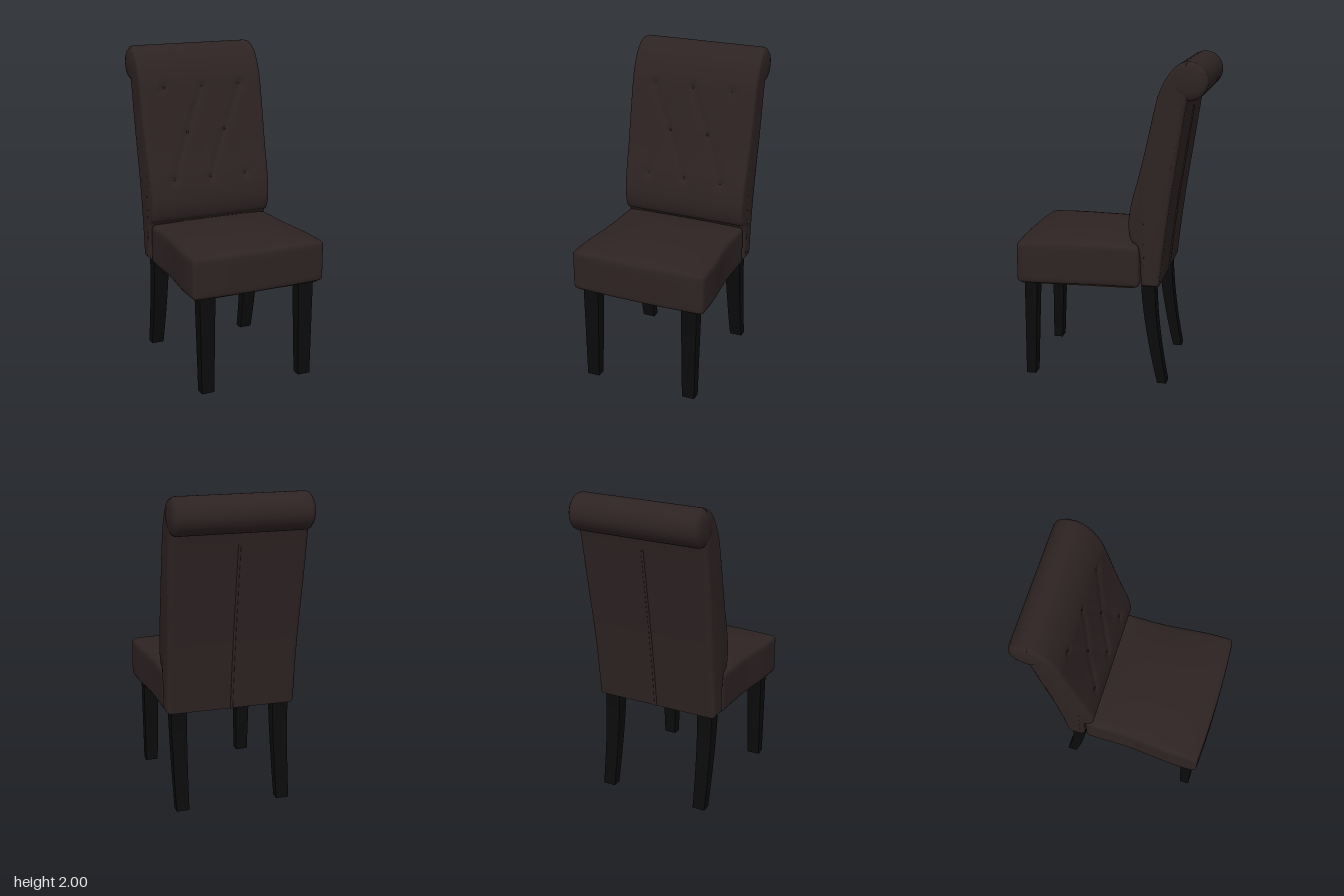
import * as THREE from 'three';
import { mergeVertices, toCreasedNormals } from 'three/addons/utils/BufferGeometryUtils.js';

const leather = new THREE.MeshStandardMaterial({ name: 'dark brown leather', color: 0x2e2323 });
const wood = new THREE.MeshStandardMaterial({ name: 'black wood', color: 0x0b0b0b });
const lining = new THREE.MeshStandardMaterial({ name: 'olive lining', color: 0x352a1a });

function add(group, name, geometry, material) {
  const mesh = new THREE.Mesh(geometry, material);
  mesh.name = name;
  group.add(mesh);
  return mesh;
}

// Moves every vertex of a geometry by a rule
function deform(geometry, rule) {
  const p = geometry.attributes.position, v = new THREE.Vector3();
  for (let i = 0; i < p.count; i++) {
    rule(v.fromBufferAttribute(p, i));
    p.setXYZ(i, v.x, v.y, v.z);
  }
  geometry.computeVertexNormals();
  return geometry;
}

// Rounded box with dense, smooth faces that can be reshaped
function softBox(w, h, d, r, rule) {
  let g = new THREE.BoxGeometry(2, 2, 2, 24, 12, 24);
  g.deleteAttribute('normal');
  g.deleteAttribute('uv');
  g = mergeVertices(g);
  const half = new THREE.Vector3(w / 2, h / 2, d / 2);
  const inner = half.clone().subScalar(r), q = new THREE.Vector3();
  const spread = t => Math.sign(t) * (1 - (1 - Math.abs(t)) ** 1.7);
  return deform(g, v => {
    v.set(spread(v.x), spread(v.y), spread(v.z)).multiply(half);
    q.copy(v).clamp(inner.clone().negate(), inner);
    v.sub(q).setLength(r).add(q);
    rule(v);
  });
}

// Seat: wider at the front, domed on top
function seatGeometry() {
  return softBox(0.82, 0.26, 0.765, 0.028, v => {
    const u = v.x / 0.41, w = v.z / 0.3825;
    const top = THREE.MathUtils.smoothstep(v.y, 0.05, 0.13);
    v.y += 0.75 + 0.052 * top * (1 - Math.abs(u) ** 2.5) * (1 - Math.abs(w) ** 2.5);
    v.z += 0.1925 + (w > 0 ? 0.015 * w * (1 - u * u) : 0);
    v.x *= 1 + 0.073 * THREE.MathUtils.smoothstep(v.z, 0.05, 0.48);
  });
}

// Tufting buttons and the creases that join them
const buttons = [[-0.26, 1.74], [0, 1.74], [0.26, 1.74], [-0.13, 1.46], [0.13, 1.46],
  [-0.25, 1.17], [0, 1.17], [0.25, 1.17]];
const creases = [[0, 3], [1, 3], [1, 4], [2, 4], [3, 5], [3, 6], [4, 6], [4, 7]];

function tuftDepth(x, y) {
  let depth = 0;
  for (const [a, b] of creases) {
    const [ax, ay] = buttons[a], [bx, by] = buttons[b];
    const dx = bx - ax, dy = by - ay;
    const t = THREE.MathUtils.clamp(((x - ax) * dx + (y - ay) * dy) / (dx * dx + dy * dy), 0, 1);
    const d = Math.hypot(x - ax - t * dx, y - ay - t * dy);
    depth = Math.max(depth, 0.007 * Math.exp(-((d / 0.025) ** 2)));
  }
  for (const [bx, by] of buttons) {
    depth = Math.max(depth, 0.014 * Math.exp(-((Math.hypot(x - bx, y - by) / 0.03) ** 2)));
  }
  return depth;
}

const vec2 = list => list.map(([a, b]) => new THREE.Vector2(a, b));
const backLine = [[-0.455, 1.7], [-0.41, 1.4], [-0.365, 1.1], [-0.33, 0.82], [-0.31, 0.635]];

// Backrest: side profile (z, y) extruded across x, then tufted
function backrestGeometry() {
  const s = new THREE.Shape();
  s.moveTo(-0.2, 0.635);
  s.splineThru(vec2([[-0.195, 0.78], [-0.18, 0.88], [-0.14, 0.915], [-0.122, 1], [-0.13, 1.1],
    [-0.152, 1.2], [-0.18, 1.3], [-0.205, 1.4], [-0.228, 1.5], [-0.25, 1.6], [-0.272, 1.7],
    [-0.297, 1.8], [-0.343, 1.9], [-0.4, 1.968], [-0.465, 1.996]]));
  s.lineTo(-0.5, 1.9);
  s.lineTo(-0.475, 1.8);
  s.lineTo(...backLine[0]);
  s.splineThru(vec2(backLine.slice(1)));
  const bevel = 0.025, width = 0.83;
  const g = new THREE.ExtrudeGeometry(s, {
    depth: width - 2 * bevel, steps: 56, curveSegments: 5,
    bevelEnabled: true, bevelThickness: bevel, bevelSize: bevel, bevelOffset: -bevel, bevelSegments: 4,
  });
  g.translate(0, 0, bevel - width / 2);
  g.rotateY(-Math.PI / 2);
  deform(g, v => {
    const rear = -0.31 - (v.y - 0.64) * 0.137;
    if (v.z > rear + 0.06 && v.y > 1) v.z -= tuftDepth(v.x, v.y);
    v.x *= 1 + 0.03 * THREE.MathUtils.smoothstep(v.y, 0.9, 1.7);
  });
  return toCreasedNormals(g, 0.7);
}

// Rolled top with gently domed ends
function rollGeometry() {
  const R = 0.114, L = 0.435;
  const g = new THREE.LatheGeometry(vec2([[0, -L], [0.06, -L + 0.002], [0.092, -L + 0.012],
    [0.108, -L + 0.025], [R, -L + 0.04], [R, L - 0.04], [0.108, L - 0.025],
    [0.092, L - 0.012], [0.06, L - 0.002], [0, L]]), 40);
  g.rotateZ(Math.PI / 2);
  g.translate(0, 1.885, -0.476);
  return g;
}

// Leg: tapered square bar whose z centre follows a curve of height
function legGeometry(x, height, topDepth, bottomDepth, zAt) {
  const g = new THREE.BoxGeometry(1, 1, 1, 1, 12, 1);
  deform(g, v => {
    const t = v.y + 0.5;
    v.x = x + v.x * THREE.MathUtils.lerp(0.082, 0.102, t);
    v.z = zAt(t) + v.z * THREE.MathUtils.lerp(bottomDepth, topDepth, t);
    v.y = t * height;
  });
  return toCreasedNormals(g, 0.6);
}

export function createModel() {
  const chair = new THREE.Group();
  chair.name = 'diningChair';

  add(chair, 'seat', seatGeometry(), leather);
  add(chair, 'backrest', backrestGeometry(), leather);
  add(chair, 'backrestRoll', rollGeometry(), leather);

  // Raised seam down the middle of the back
  const seam = new THREE.CatmullRomCurve3(backLine.map(([z, y]) => new THREE.Vector3(0, y, z)));
  add(chair, 'backSeam', new THREE.TubeGeometry(seam, 24, 0.008, 8), leather);

  // Small buttons set into the tufts
  const backFront = y => -0.152 - (y - 1.2) * 0.24;
  buttons.forEach(([x, y]) => {
    const b = add(chair, 'tuftButton', new THREE.SphereGeometry(0.009, 10, 8), leather);
    b.position.set(x, y, backFront(y) - 0.013);
    b.scale.z = 0.5;
  });

  // Cloth lining under the seat
  const cloth = new THREE.BoxGeometry(0.76, 0.009, 0.7);
  deform(cloth, v => { if (v.z > 0) v.x *= 1.06; });
  add(chair, 'seatLining', cloth, lining).position.set(0, 0.617, 0.2);

  // Straight front legs and swept rear legs
  for (const side of [1, -1]) {
    add(chair, 'frontLeg', legGeometry(side * 0.332, 0.63, 0.08, 0.06, t => 0.513 - 0.013 * t), wood);
    add(chair, 'rearLeg', legGeometry(side * 0.332, 0.645, 0.085, 0.058,
      t => -0.243 - 0.088 * (1 - t) ** 1.6), wood);
  }
  return chair;
}
